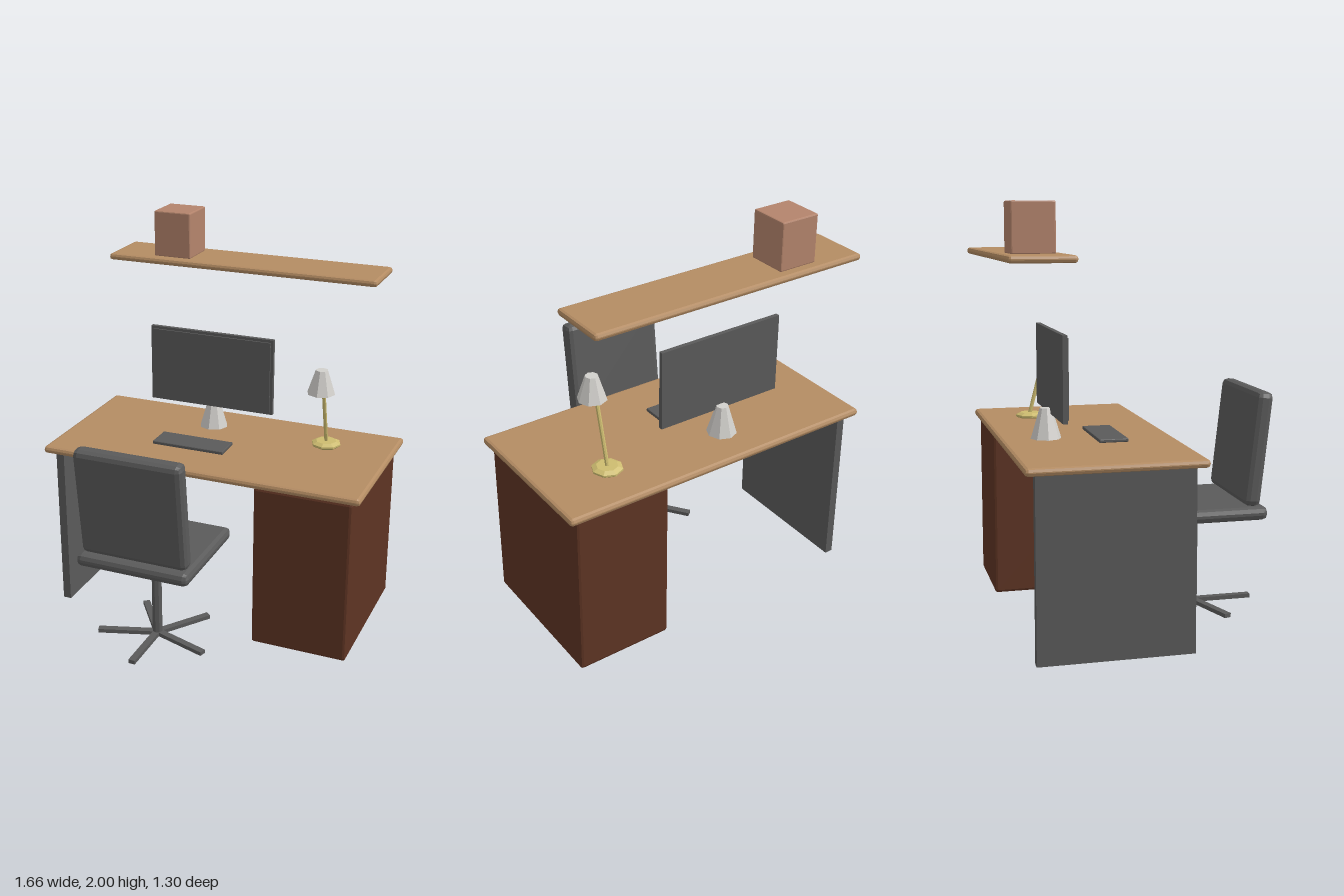
import * as THREE from 'three';
import { RoundedBoxGeometry } from 'three/addons/geometries/RoundedBoxGeometry.js';

const paint = (name, color) => {
  const m = new THREE.MeshStandardMaterial({ color });
  m.name = name;
  return m;
};

export function createModel() {
  const wood = paint('light wood', 0xb48c63);
  const brown = paint('dark brown wood', 0x5e3423);
  const grey = paint('charcoal', 0x5a5a5a);
  const clay = paint('clay', 0xb4846c);
  const white = paint('off white', 0xd2d0cc);
  const brass = paint('brass', 0xcdbc70);

  const model = new THREE.Group();
  model.name = 'workDesk';

  const group = (name, parent = model) => {
    const g = new THREE.Group();
    g.name = name;
    parent.add(g);
    return g;
  };
  // Adds a mesh with faceted normals
  const add = (parent, name, geometry, material) => {
    const flat = geometry.index ? geometry.toNonIndexed() : geometry;
    flat.computeVertexNormals();
    const mesh = new THREE.Mesh(flat, material);
    mesh.name = name;
    parent.add(mesh);
    return mesh;
  };
  // Box given by its limits on each axis, with an optional bevel
  const box = (parent, name, material, [x0, x1], [y0, y1], [z0, z1], bevel = 0) => {
    const size = [x1 - x0, y1 - y0, z1 - z0];
    const geometry = bevel
      ? new RoundedBoxGeometry(...size, 1, bevel)
      : new THREE.BoxGeometry(...size);
    const mesh = add(parent, name, geometry, material);
    mesh.position.set((x0 + x1) / 2, (y0 + y1) / 2, (z0 + z1) / 2);
    return mesh;
  };
  // Eight-sided upright cylinder or cone
  const column = (parent, name, material, rTop, rBottom, y0, y1, x, z) => {
    const mesh = add(parent, name, new THREE.CylinderGeometry(rTop, rBottom, y1 - y0, 8), material);
    mesh.position.set(x, (y0 + y1) / 2, z);
    return mesh;
  };

  // Desk
  const desk = group('desk');
  box(desk, 'deskTop', wood, [-0.83, 0.83], [0.852, 0.889], [-0.61, 0.21], 0.016);
  box(desk, 'cabinet', brown, [0.3, 0.79], [0, 0.852], [-0.585, 0.19], 0.014);
  box(desk, 'sidePanel', grey, [-0.785, -0.743], [0, 0.86], [-0.56, 0.16]);

  // Wall shelf and the box on it
  const shelf = group('shelf');
  box(shelf, 'shelfBoard', wood, [-0.71, 0.71], [1.737, 1.77], [-0.65, -0.348], 0.014);
  box(shelf, 'storageBox', clay, [-0.475, -0.278], [1.768, 2], [-0.6, -0.4], 0.006);

  // Monitor
  const monitor = group('monitor');
  box(monitor, 'monitorBody', grey, [-0.48, 0.195], [1.01, 1.41], [-0.376, -0.354]);
  box(monitor, 'screen', grey, [-0.466, 0.181], [1.024, 1.396], [-0.354, -0.346]);
  column(monitor, 'monitorStand', white, 0.03, 0.074, 0.889, 1.035, -0.143, -0.393);

  // Keyboard
  box(model, 'keyboard', grey, [-0.333, 0.05], [0.889, 0.906], [-0.175, -0.035], 0.004);

  // Desk lamp
  const lamp = group('lamp');
  const x = 0.487;
  const baseProfile = [[0, 0], [0.068, 0], [0.075, 0.006], [0.075, 0.015], [0.052, 0.026], [0, 0.026]]
    .map(([r, y]) => new THREE.Vector2(r, y));
  add(lamp, 'lampBase', new THREE.LatheGeometry(baseProfile, 8), brass).position.set(x, 0.889, -0.361);
  const foot = new THREE.Vector3(x, 0.9, -0.365);
  const tip = new THREE.Vector3(x, 1.25, -0.275);
  const arm = add(lamp, 'lampArm', new THREE.CylinderGeometry(0.01, 0.01, foot.distanceTo(tip), 8), brass);
  arm.position.lerpVectors(foot, tip, 0.5);
  arm.quaternion.setFromUnitVectors(new THREE.Vector3(0, 1, 0), tip.clone().sub(foot).normalize());
  column(lamp, 'lampShade', white, 0.031, 0.071, 1.21, 1.33, x, -0.245);

  // Office chair
  const chair = group('chair');
  chair.position.set(-0.146, 0, 0.34);
  box(chair, 'seat', grey, [-0.29, 0.29], [0.495, 0.56], [-0.27, 0.29], 0.026);
  const back = box(chair, 'backrest', grey, [-0.273, 0.273], [0.56, 1.113], [0.203, 0.287], 0.027);
  back.rotation.x = 0.112;
  column(chair, 'post', grey, 0.026, 0.026, 0.027, 0.5, 0, 0);
  for (let i = 0; i < 5; i++) {
    const spoke = group('footSpoke', chair);
    spoke.rotation.y = (i * Math.PI * 2) / 5;
    box(spoke, 'spokeBar', grey, [-0.017, 0.017], [0.027, 0.047], [0, 0.3]);
  }

  return model;
}
